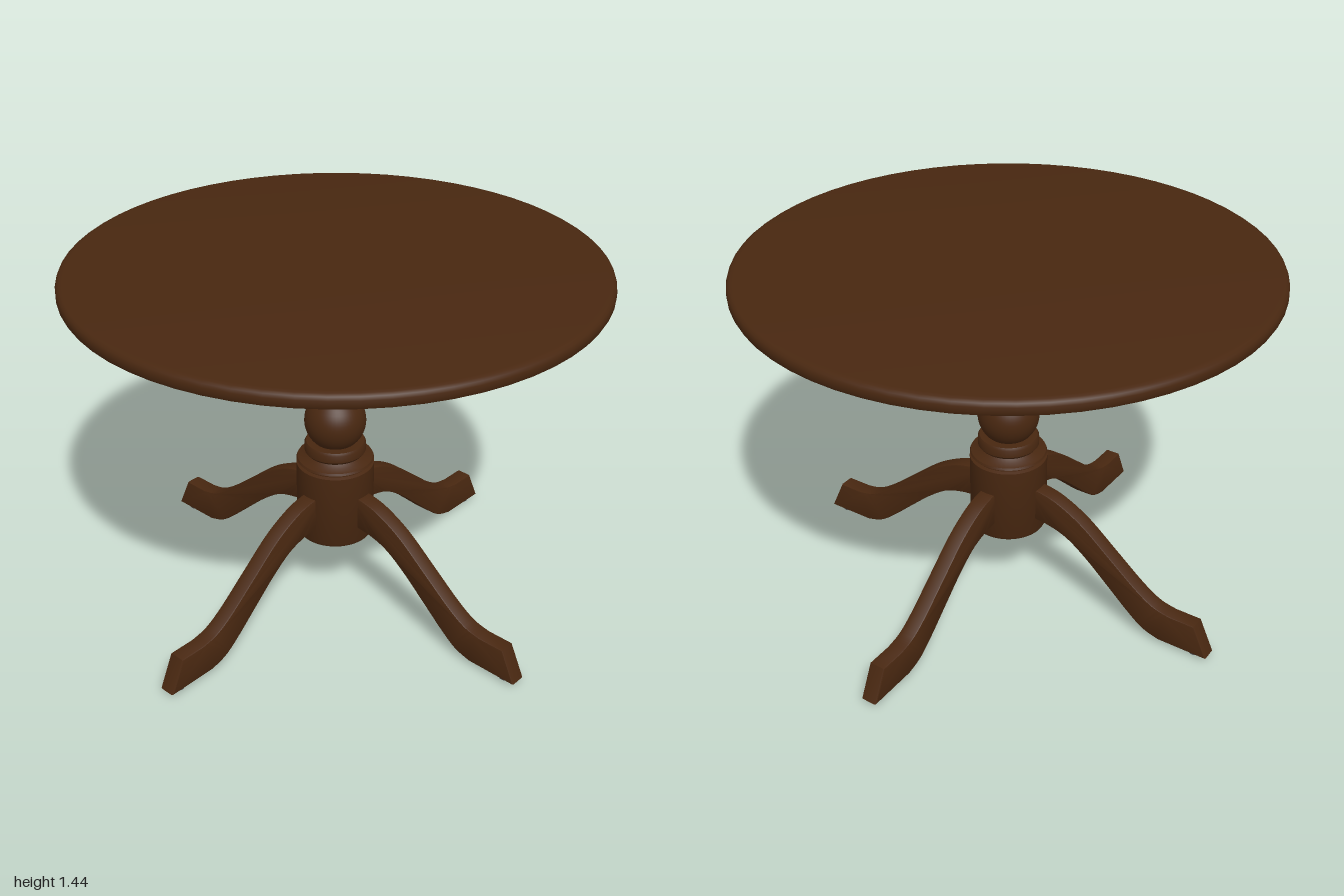
import * as THREE from 'three';
import { toCreasedNormals } from 'three/addons/utils/BufferGeometryUtils.js';

const wood = new THREE.MeshStandardMaterial({ name: 'dark stained wood', color: 0x482710 });
const metal = new THREE.MeshStandardMaterial({ name: 'grey metal', color: 0x5a5a5a });

const LEG_WIDTH = 0.066;
const LEG_ANGLE = -0.91;

function part(name, geometry, material, parent) {
  const mesh = new THREE.Mesh(geometry, material);
  mesh.name = name;
  parent.add(mesh);
  return mesh;
}

// Turned part from a bottom-to-top list of [radius, height]
function turned(name, profile, parent, segments = 48) {
  const points = profile.map(([r, y]) => new THREE.Vector2(r, y));
  const geometry = toCreasedNormals(new THREE.LatheGeometry(points, segments), 0.6);
  return part(name, geometry, wood, parent);
}

// Arc of a ball, cut off at the given half height
function ball(cy, radius, half) {
  const points = [];
  const limit = Math.asin(half / radius);
  for (let i = 0; i <= 14; i++) {
    const a = -limit + (2 * limit * i) / 14;
    points.push([radius * Math.cos(a), cy + radius * Math.sin(a)]);
  }
  return points;
}

// Curved leg silhouette in radius and height
function legGeometry() {
  const v = (list) => list.map(([x, y]) => new THREE.Vector2(x, y));
  const shape = new THREE.Shape();
  shape.moveTo(0.11, 0.5);
  shape.splineThru(v([[0.17, 0.497], [0.25, 0.475], [0.36, 0.415], [0.49, 0.31],
    [0.61, 0.212], [0.69, 0.162], [0.76, 0.145]]));
  shape.lineTo(0.865, 0.145);
  shape.lineTo(0.925, 0.015);
  shape.lineTo(0.72, 0.015);
  shape.splineThru(v([[0.65, 0.038], [0.58, 0.09], [0.48, 0.18], [0.38, 0.268],
    [0.29, 0.33], [0.2, 0.358], [0.11, 0.365]]));
  shape.closePath();
  const bevel = 0.006;
  const geometry = new THREE.ExtrudeGeometry(shape, {
    depth: LEG_WIDTH - 2 * bevel, curveSegments: 24,
    bevelEnabled: true, bevelSize: bevel, bevelThickness: bevel, bevelOffset: -bevel, bevelSegments: 2,
  });
  geometry.translate(0, 0, -LEG_WIDTH / 2 + bevel);
  return toCreasedNormals(geometry, 0.5);
}

export function createModel() {
  const table = new THREE.Group();
  table.name = 'pedestalTable';

  // Round top with softened rim
  turned('tableTop', [[0, 1.38], [0.985, 1.38], [0.995, 1.385], [1, 1.395], [1, 1.415],
    [0.995, 1.427], [0.985, 1.434], [0.97, 1.436], [0, 1.436]], table, 64);

  const base = new THREE.Group();
  base.name = 'base';
  base.position.set(-0.004, 0, 0.004);
  table.add(base);

  turned('mountingPlate', [[0, 1.345], [0.307, 1.345], [0.307, 1.382], [0, 1.382]], base);

  // Turned column, from the leg block up
  turned('legBlock', [[0, 0.285], [0.135, 0.285], [0.147, 0.292], [0.153, 0.305], [0.153, 0.605],
    [0.14, 0.61], [0.14, 0.616], [0.152, 0.622], [0.148, 0.63], [0.125, 0.638], [0.11, 0.65], [0, 0.65]], base);
  turned('lowerCollar', [[0, 0.65], [0.112, 0.65], [0.12, 0.66], [0.12, 0.69], [0.114, 0.7], [0, 0.7]], base);
  turned('lowerBall', ball(0.787, 0.12, 0.09), base);
  turned('upperBall', ball(0.966, 0.12, 0.096), base);
  turned('upperCollar', [[0, 1.057], [0.114, 1.057], [0.119, 1.064], [0.12, 1.085], [0.126, 1.11],
    [0.132, 1.122], [0.146, 1.126], [0.15, 1.133], [0.144, 1.142], [0.144, 1.148], [0.162, 1.152],
    [0.166, 1.164], [0.163, 1.177], [0.153, 1.183], [0, 1.183]], base);
  turned('upperBlock', [[0.153, 1.18], [0.153, 1.347]], base);

  // Four legs with floor glides, and plate screws between them
  const legShape = legGeometry();
  const glide = new THREE.CylinderGeometry(0.024, 0.02, 0.018, 16);
  const screwHead = new THREE.CylinderGeometry(0.022, 0.014, 0.012, 16);
  const washer = new THREE.CylinderGeometry(0.028, 0.028, 0.004, 16);
  for (let i = 0; i < 4; i++) {
    const leg = new THREE.Group();
    leg.name = 'leg' + (i + 1);
    leg.rotation.y = LEG_ANGLE + (i * Math.PI) / 2;
    base.add(leg);
    part('curvedLeg', legShape, wood, leg);
    part('floorGlide', glide, metal, leg).position.set(0.865, 0.009, 0);

    const screw = new THREE.Group();
    screw.name = 'plateScrew' + (i + 1);
    const a = 0.7 + (i * Math.PI) / 2;
    screw.position.set(0.238 * Math.cos(a), 1.344, 0.238 * Math.sin(a));
    base.add(screw);
    part('washer', washer, wood, screw).position.y = -0.001;
    part('screwHead', screwHead, metal, screw).position.y = -0.007;
  }
  return table;
}
